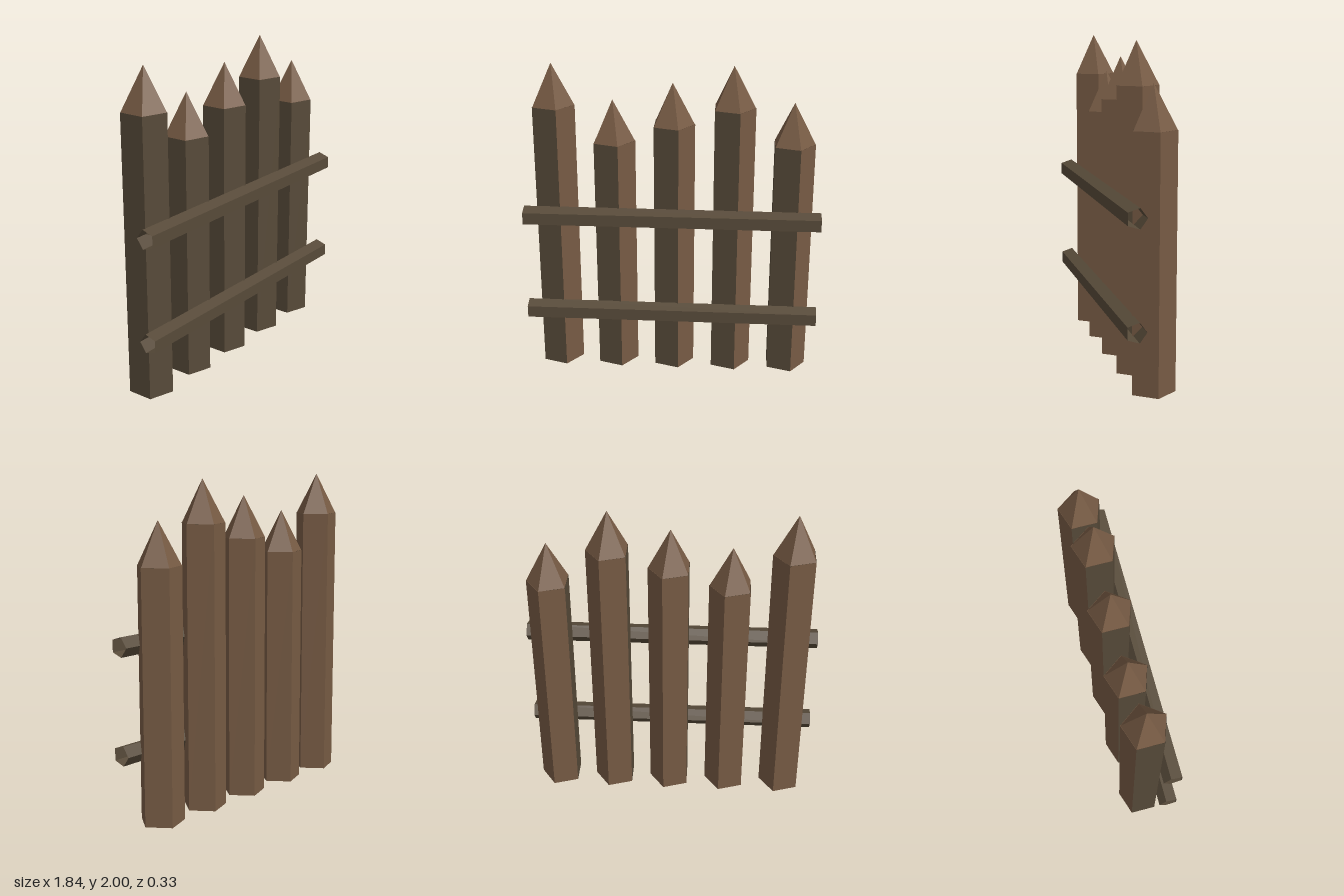
import * as THREE from 'three';

export function createModel() {
  const fence = new THREE.Group();
  fence.name = 'picketFence';

  const mat = (name, color) => {
    const m = new THREE.MeshStandardMaterial({ color, flatShading: true, side: THREE.DoubleSide });
    m.name = name;
    return m;
  };
  const brown = mat('warm brown wood', 0x775b44);
  const dark = mat('dark weathered wood', 0x574a39);

  const add = (parent, name, geometry, material, x, y, z) => {
    const mesh = new THREE.Mesh(geometry, material);
    mesh.name = name;
    mesh.position.set(x, y, z);
    parent.add(mesh);
  };

  // Five-sided stakes: open shaft with two weathered sides, and a pointed tip
  const tipHeight = 0.258;
  const spacing = 0.368;
  [2, 1.779, 1.89, 2, 1.779].forEach((height, i) => {
    const stake = new THREE.Group();
    stake.name = `stake${i + 1}`;
    stake.position.set((i - 2) * spacing, 0, -0.033);
    const shaftHeight = height - tipHeight;

    const shaft = new THREE.CylinderGeometry(0.137, 0.137, shaftHeight, 5, 1, true, Math.PI / 2);
    shaft.clearGroups();
    shaft.addGroup(0, 12, 0);
    shaft.addGroup(12, 12, 1);
    shaft.addGroup(24, 6, 0);
    add(stake, 'shaft', shaft, [brown, dark], 0, shaftHeight / 2, 0);

    const tip = new THREE.ConeGeometry(0.135, tipHeight, 5, 1, true, Math.PI / 2);
    add(stake, 'tip', tip, brown, 0, shaftHeight + tipHeight / 2, 0);
    fence.add(stake);
  });

  // Two open five-sided rails across the front, flat side forward
  const rail = new THREE.CylinderGeometry(0.063, 0.063, 1.84, 5, 1, true, Math.PI);
  rail.rotateZ(Math.PI / 2);
  add(fence, 'lowerRail', rail, dark, 0, 0.415, 0.111);
  add(fence, 'upperRail', rail, dark, 0, 1.061, 0.111);

  return fence;
}
